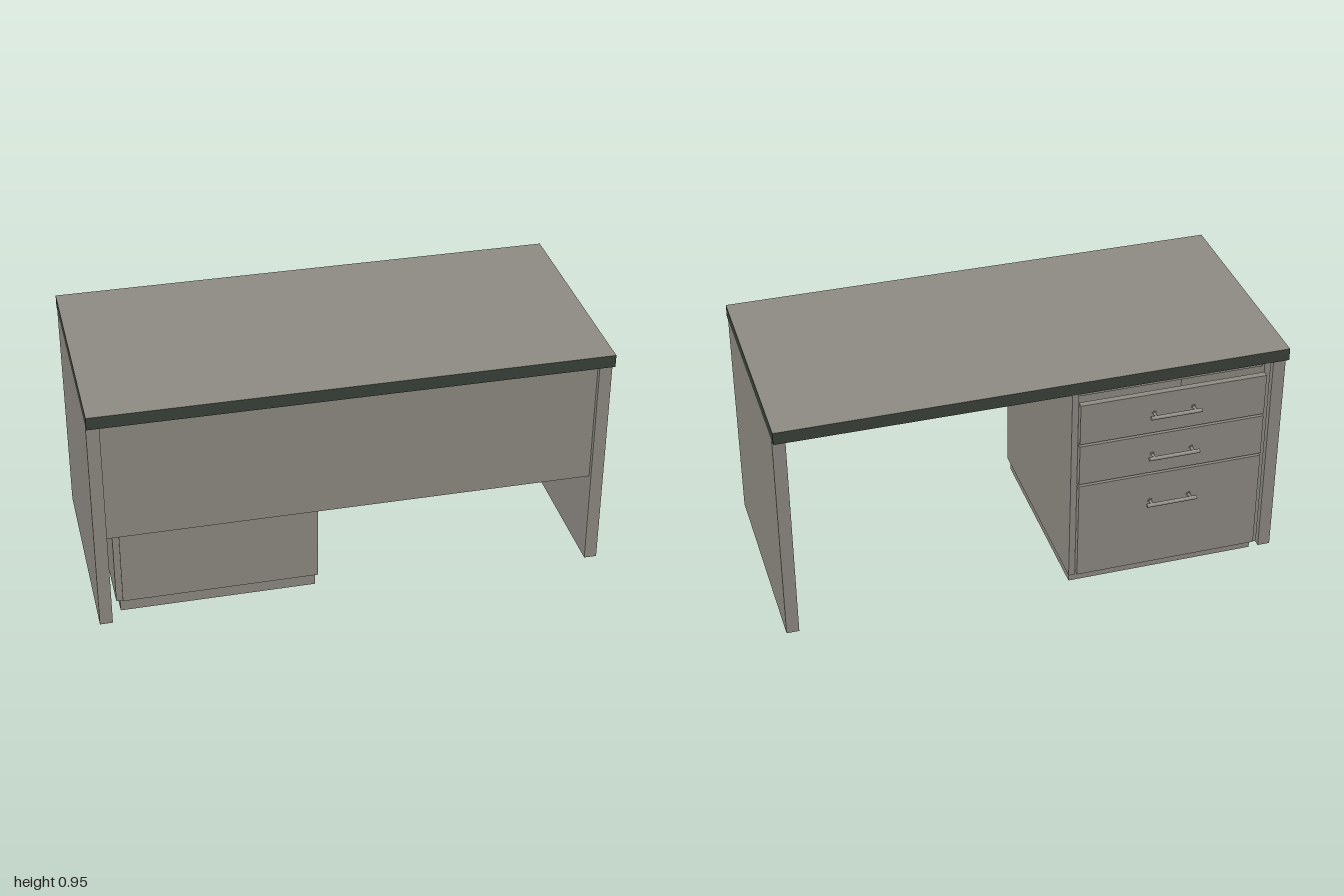
import * as THREE from 'three';

export function createModel() {
  const desk = new THREE.Group();
  desk.name = 'desk';

  const panelMat = new THREE.MeshStandardMaterial({ color: 0x8f8b84 });
  panelMat.name = 'taupe laminate';
  const edgeMat = new THREE.MeshStandardMaterial({ color: 0x3a4139 });
  edgeMat.name = 'dark green edging';

  // Box given by its minimum and maximum on each axis
  function panel(name, [x0, x1], [y0, y1], [z0, z1], parent = desk, mat = panelMat) {
    const mesh = new THREE.Mesh(new THREE.BoxGeometry(x1 - x0, y1 - y0, z1 - z0), mat);
    mesh.position.set((x0 + x1) / 2, (y0 + y1) / 2, (z0 + z1) / 2);
    mesh.name = name;
    parent.add(mesh);
    return mesh;
  }

  function rod(name, radius, length, axis, x, y, z, parent) {
    const mesh = new THREE.Mesh(new THREE.CylinderGeometry(radius, radius, length, 20), panelMat);
    if (axis === 'x') mesh.rotation.z = Math.PI / 2;
    else mesh.rotation.x = Math.PI / 2;
    mesh.position.set(x, y, z);
    mesh.name = name;
    parent.add(mesh);
  }

  // Worktop: taupe faces with dark edging all round
  panel('worktop', [-1, 1], [0.9, 0.95], [-0.435, 0.5], desk,
    [edgeMat, edgeMat, panelMat, panelMat, edgeMat, edgeMat]);

  // End panels and modesty panel
  panel('leftEndPanel', [0.95, 1], [0, 0.9], [-0.405, 0.47]);
  panel('rightEndPanel', [-1, -0.95], [0, 0.9], [-0.405, 0.47]);
  panel('modestyPanel', [-0.95, 0.95], [0.38, 0.875], [0.42, 0.45]);

  // Drawer cabinet, open towards the sitter
  const cabinet = new THREE.Group();
  cabinet.name = 'drawerCabinet';
  desk.add(cabinet);
  panel('cabinetOuterSide', [-0.925, -0.9], [0.05, 0.9], [-0.435, 0.405], cabinet);
  panel('cabinetInnerSide', [-0.155, -0.13], [0.05, 0.9], [-0.435, 0.41], cabinet);
  panel('cabinetBack', [-0.9, -0.155], [0.05, 0.9], [0.385, 0.41], cabinet);
  panel('cabinetTop', [-0.9, -0.155], [0.875, 0.9], [-0.41, 0.385], cabinet);
  panel('cabinetFloor', [-0.9, -0.155], [0.05, 0.07], [-0.405, 0.385], cabinet);
  panel('plinth', [-0.91, -0.14], [0, 0.05], [-0.405, 0.4], cabinet);

  // Drawers: bottom, top and handle heights
  const drawers = [[0.07, 0.495, 0.37], [0.505, 0.68, 0.59], [0.69, 0.865, 0.778]];
  drawers.forEach(([y0, y1, hy], i) => {
    const drawer = new THREE.Group();
    drawer.name = 'drawer' + (i + 1);
    cabinet.add(drawer);
    panel('drawerFront', [-0.9, -0.155], [y0, y1], [-0.462, -0.436], drawer);

    // Bar handle on two posts with round flanges
    rod('handleBar', 0.008, 0.205, 'x', -0.5275, hy, -0.492, drawer);
    for (const x of [-0.607, -0.448]) {
      rod('handlePost', 0.006, 0.03, 'z', x, hy, -0.477, drawer);
      rod('handleFlange', 0.01, 0.004, 'z', x, hy, -0.464, drawer);
    }
  });

  return desk;
}
